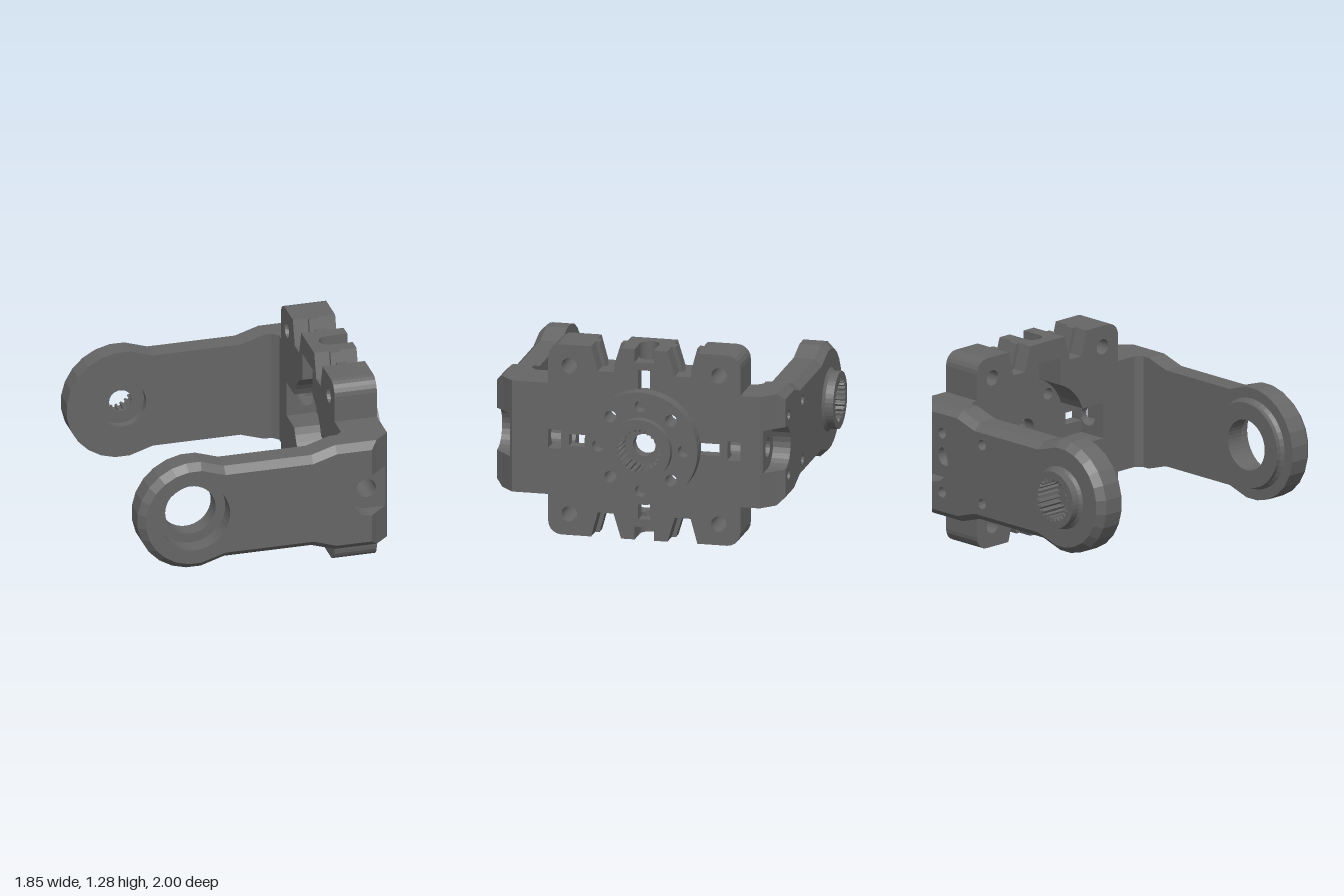
import * as THREE from 'three';

const CY = 0.645;                 // height of the bracket's centre line
const PIVOT = -0.555;             // x of the arm pivots
const BOLT = 0.63;                // x of the edge bolt holes
const X0 = 0.49, X1 = 0.775;      // inner and outer face of the plate

const V = (x, y) => new THREE.Vector2(x, y);
const arc = (x, y, r, from, to, n) => Array.from({ length: n + 1 }, (_, i) => {
  const a = THREE.MathUtils.degToRad(from + (to - from) * i / n);
  return V(x + r * Math.cos(a), y + r * Math.sin(a));
});
const circle = (x, y, r, n = 32) => arc(x, y, r, 0, 360, n).slice(0, n);

// toothed socket outline
function spline(x, y) {
  const pts = [];
  for (let i = 0; i < 24; i++) {
    [[0, 0.125], [0.35, 0.125], [0.5, 0.145], [0.85, 0.145]].forEach(([t, r]) => {
      const a = (i + t) / 24 * Math.PI * 2;
      pts.push(V(x + r * Math.cos(a), y + r * Math.sin(a)));
    });
  }
  return pts;
}

// prism along z from outline A to outline B (same point count), with straight holes
function loft(A, B, holes, z0, z1) {
  const shape = new THREE.Shape(A);
  shape.holes = holes.map(h => new THREE.Path(h));
  const g = new THREE.ExtrudeGeometry(shape, { depth: z1 - z0, bevelEnabled: false });
  const p = g.attributes.position;
  for (let i = 0; i < p.count; i++) {
    if (p.getZ(i) < (z1 - z0) / 2) continue;
    const k = A.findIndex(a => Math.hypot(a.x - p.getX(i), a.y - p.getY(i)) < 1e-4);
    if (k >= 0) p.setXY(i, B[k].x, B[k].y);
  }
  g.translate(0, 0, z0);
  g.computeVertexNormals();
  return g;
}
const alongZ = (pts, holes, z0, z1) => loft(pts, pts, holes, z0, z1);
const alongX = (pts, holes, x0, x1) => loft(pts, pts, holes, x0, x1).rotateY(Math.PI / 2);
const alongY = (pts, holes, y0, y1) => loft(pts, pts, holes, y0, y1).rotateX(-Math.PI / 2);
const rect = (x0, x1, y0, y1) => [V(x0, y0), V(x1, y0), V(x1, y1), V(x0, y1)];

// arm outline: inset i, right edge at xr, optional bolt pocket open to the right
function armOutline(i, xr, pocket) {
  const y = 0.375 - i;
  const pts = [
    V(xr, y), V(0.4, y), V(0.24, 0.325 - i), V(-0.35, 0.325 - i),
    ...arc(PIVOT, 0, 0.378 - i, 82.5, 277.5, 13),
    V(-0.35, i - 0.325), V(0.24, i - 0.325), V(0.4, -y), V(xr, -y),
  ];
  if (pocket) pts.push(V(xr, -0.143), ...arc(BOLT, 0, 0.143, 270, 90, 12), V(xr, 0.143));
  return pts;
}

export function createModel() {
  const model = new THREE.Group();
  model.name = 'servoBracket';
  const grey = new THREE.MeshStandardMaterial({ color: 0x666666, flatShading: true });
  grey.name = 'darkGrey';
  const add = (group, name, geometry) => {
    const m = new THREE.Mesh(geometry, grey);
    m.name = name;
    group.add(m);
    return m;
  };
  const newGroup = (name, z) => {
    const g = new THREE.Group();
    g.name = name;
    g.position.set(0, CY, z);
    model.add(g);
    return g;
  };

  // ---------- mounting plate ----------
  const plate = newGroup('mountingPlate', -0.02);
  const edge = [
    V(0.12, 0.642), V(0.155, 0.642), V(0.205, 0.477), V(0.31, 0.477), V(0.355, 0.642),
    ...arc(0.552, 0.552, 0.09, 90, 0, 5), V(0.642, 0.12),
  ];
  const flip = (pts, sx, sy) => {
    const r = pts.map(p => V(p.x * sx, p.y * sy));
    return sx * sy < 0 ? r.reverse() : r;
  };
  const quarter = [V(0.12, 0.515), ...edge, V(0.515, 0.12)];
  const outline = [[1, 1], [1, -1], [-1, -1], [-1, 1]].flatMap(([a, b]) => flip(quarter, a, b));

  // outer skin with slots and holes
  const skinHoles = [circle(0, 0, 0.075),
    rect(-0.04, 0.04, 0.36, 0.503), rect(-0.04, 0.04, -0.503, -0.36),
    rect(0.36, 0.503, -0.04, 0.04), rect(-0.503, -0.36, -0.04, 0.04)];
  const innerQuarter = [...edge, ...arc(0, 0, 0.342, 20.5, 69.5, 6)];
  for (const a of [1, -1]) for (const b of [1, -1]) {
    skinHoles.push(circle(a * 0.5, b * 0.5, 0.052, 20), circle(a * 0.202, b * 0.202, 0.04, 16));
    // corner blocks behind the skin, leaving a cross-shaped recess
    add(plate, 'cornerBlock', alongX(flip(innerQuarter, a, b), [circle(a * 0.5, b * 0.5, 0.052, 20)], X0, 0.69));
    // locating ribs in the notches
    const ribs = [
      [V(0.355, 0.642), V(0.31, 0.477), V(0.282, 0.477), V(0.327, 0.642)],
      [V(0.155, 0.642), V(0.183, 0.642), V(0.233, 0.477), V(0.205, 0.477)],
    ];
    ribs.forEach(r => add(plate, 'notchRib', alongX(flip(r, a, b), [], 0.59, 0.66)));
  }
  add(plate, 'plateSkin', alongX(outline, skinHoles, 0.69, X1));

  // bolt seats in the middle of each edge
  const w = 0.12, p = 0.064;
  const seat = [V(X0, -w), V(X1, -w), V(X1, -p), ...arc(BOLT, 0, p, 270, 90, 10), V(X1, p), V(X1, w), V(X0, w)];
  for (let i = 0; i < 4; i++) {
    const g = new THREE.Group();
    g.name = 'edgeBoltSeat';
    g.rotation.x = i * Math.PI / 2;
    add(g, 'seatFloor', alongY(rect(X0, X1, -w, w), [circle(BOLT, 0, p, 20)], 0.505, 0.555));
    add(g, 'seatWalls', alongY(seat, [], 0.555, 0.642));
    plate.add(g);
  }

  // ---------- output disc ----------
  const discHoles = [spline(0, 0)];
  for (let i = 0; i < 8; i++) {
    const a = i * Math.PI / 4;
    discHoles.push(circle(0.286 * Math.cos(a), 0.286 * Math.sin(a), 0.04, 16));
  }
  add(plate, 'hornDisc', alongX(circle(0, 0, 0.378, 48), discHoles, X1, 0.865));
  add(plate, 'hornHub', alongX(circle(0, 0, 0.21, 40), [spline(0, 0)], 0.865, 0.925));

  // ---------- arms, built outward from their inner face at local z = 0 ----------
  function buildArm(name, z, reach, innerHole, outerHole, screwHoles) {
    const arm = newGroup(name, z);
    const bolt = circle(BOLT, 0, 0.065, 20);
    const outer = [outerHole, ...screwHoles];
    const full = armOutline(0, X1), cut = armOutline(0, 0.755, true);
    const cut2 = armOutline(0, 0.68, true), tip = armOutline(0.045, 0.635, true);
    add(arm, 'armRoot', alongZ(rect(X0, X1, -0.375, 0.375), [bolt], -reach, 0));
    add(arm, 'cornerFillet', alongY([V(X0, 0), V(0.45, 0), V(X0, 0.04)], [], -0.375, 0.375));
    add(arm, 'armInner', alongZ(full, [innerHole, bolt], 0, 0.05));
    add(arm, 'armMiddle', loft(full, armOutline(0, 0.755), [innerHole, bolt], 0.05, 0.07));
    add(arm, 'armOuter', loft(cut, cut2, outer, 0.07, 0.14));
    add(arm, 'armBevel', loft(cut2, tip, outer, 0.14, 0.188));
    return arm;
  }
  const ring = (r) => circle(PIVOT, 0, r, 40);

  // front arm: open bearing seat with a raised ring inside
  const front = buildArm('frontArm', 0.812, 0.19, ring(0.17), ring(0.235), []);
  add(front, 'bearingRingBase', loft(ring(0.285), ring(0.305), [ring(0.17)], -0.02, 0));
  add(front, 'bearingRing', alongZ(ring(0.285), [ring(0.17)], -0.05, -0.02));

  // back arm: toothed boss outside, screw recess inside (turned half round about x)
  const screws = [[0.54, 0.2], [0.54, -0.2], [0.17, 0.2], [0.17, -0.2]].map(([x, y]) => circle(x, y, 0.035, 14));
  const socket = spline(PIVOT, 0);
  const back = buildArm('backArm', -0.74, 0.078, ring(0.16), socket, screws);
  back.rotation.x = Math.PI;
  add(back, 'socketWeb', alongZ(ring(0.165), [circle(PIVOT, 0, 0.075)], 0.055, 0.075));
  add(back, 'socketBossBase', loft(ring(0.21), ring(0.185), [socket], 0.188, 0.21));
  add(back, 'socketBoss', alongZ(ring(0.19), [socket], 0.205, 0.26));

  return model;
}
